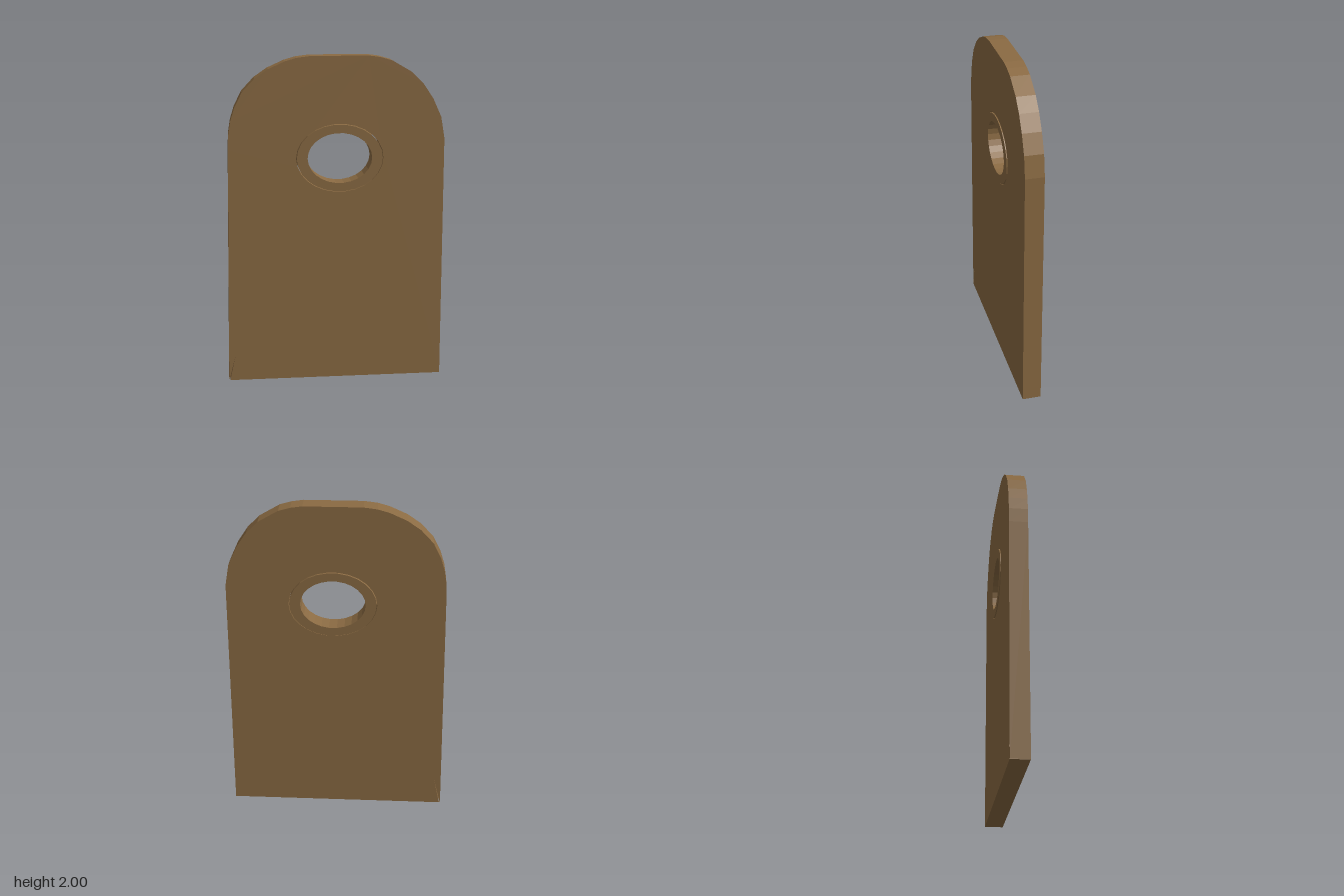
import * as THREE from 'three';

const CENTRE = [0.027, 1.39];
const SEGMENTS = 26;

// Points of an ellipse around the eye hole
function ellipse(rx, ry) {
  return Array.from({ length: SEGMENTS }, (_, i) => {
    const a = (i / SEGMENTS) * Math.PI * 2;
    return new THREE.Vector2(CENTRE[0] + rx * Math.cos(a), CENTRE[1] + ry * Math.sin(a));
  });
}

// Flat plate with optional hole, centred in depth
function plate(name, points, depth, material, hole) {
  const shape = new THREE.Shape(points);
  if (hole) shape.holes.push(new THREE.Path(hole));
  const geometry = new THREE.ExtrudeGeometry(shape, { depth, bevelEnabled: false });
  geometry.translate(0, 0, -depth / 2);
  const mesh = new THREE.Mesh(geometry, material);
  mesh.name = name;
  return mesh;
}

export function createModel() {
  const group = new THREE.Group();
  group.name = 'tagPlate';
  const brown = new THREE.MeshStandardMaterial({ color: 0x8b6b43 });
  brown.name = 'brown';

  // Arched board, with its rounded shoulders
  const outline = [
    [-0.657, 0], [0.662, 0], [0.662, 1.5], [0.64, 1.63], [0.59, 1.74], [0.53, 1.83],
    [0.46, 1.9], [0.34, 1.97], [0.27, 1.99], [0.2, 2], [-0.15, 2], [-0.23, 1.99],
    [-0.3, 1.97], [-0.4, 1.925], [-0.48, 1.87], [-0.555, 1.79], [-0.6, 1.7],
    [-0.625, 1.62], [-0.638, 1.54], [-0.642, 1.45], [-0.62, 0.17],
  ].map(([x, y]) => new THREE.Vector2(x, y));
  group.add(plate('board', outline, 0.112, brown, ellipse(0.264, 0.207)));

  // Narrow sliver along the right edge, flush with the board
  const sliver = [[-0.664, 0], [-0.66, 0.01], [-0.62, 0.17], [-0.642, 1.45]]
    .map(([x, y]) => new THREE.Vector2(x, y));
  group.add(plate('edgeSliver', sliver, 0.112, brown));

  // Slightly raised ring lining the hole
  group.add(plate('eyeletRing', ellipse(0.26, 0.203), 0.122, brown, ellipse(0.195, 0.152)));

  return group;
}
